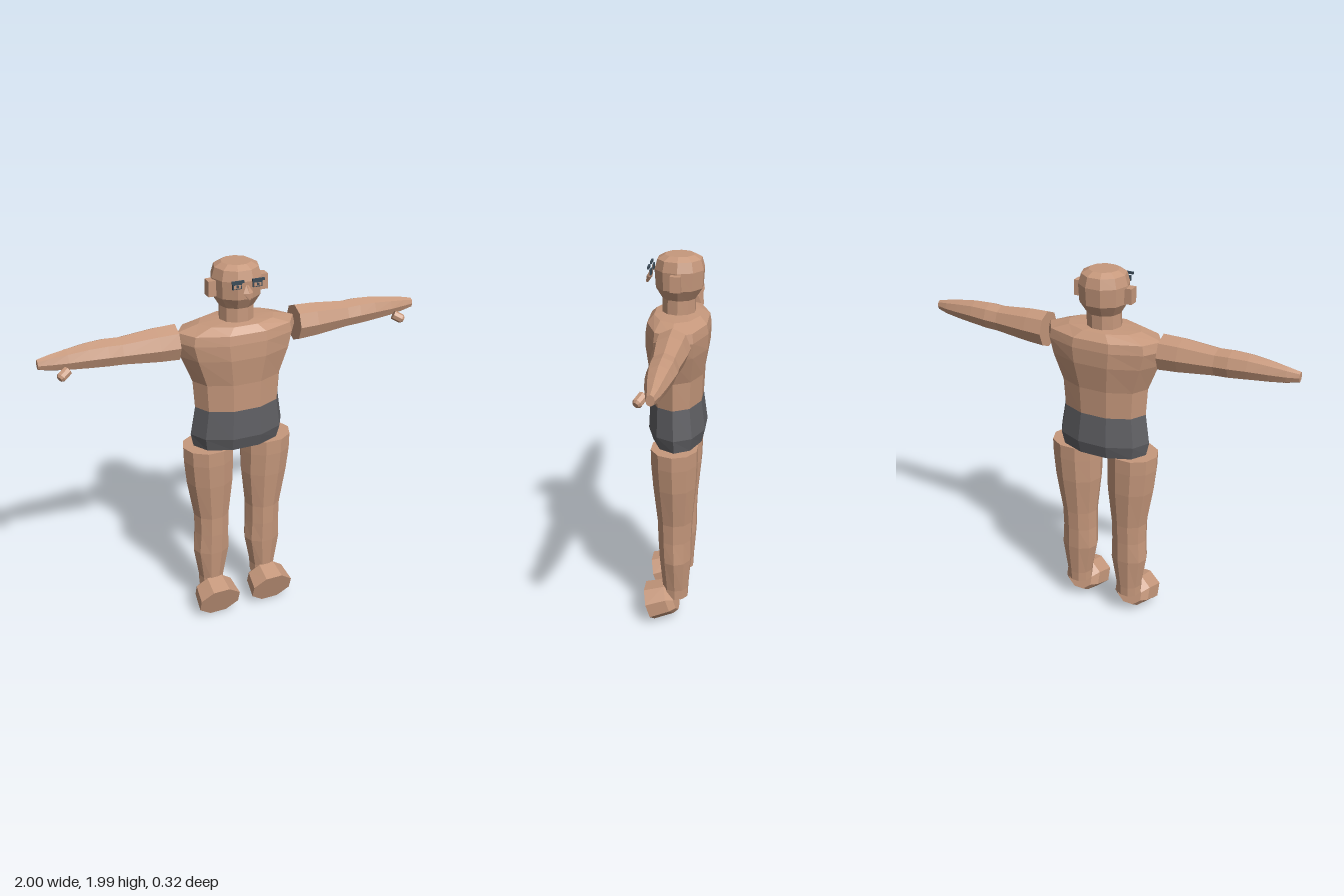
import * as THREE from 'three';

const skin = new THREE.MeshStandardMaterial({ color: 0xc6987c, flatShading: true });
const shortsGrey = new THREE.MeshStandardMaterial({ color: 0x5f5f63, flatShading: true });
const slate = new THREE.MeshStandardMaterial({ color: 0x3b4b57, flatShading: true });
skin.name = 'skin';
shortsGrey.name = 'shortsGrey';
slate.name = 'slate';

// Closed loft along y; each ring is [y, rx, rz, cx, cz], listed upwards
function loft(rings, n = 10, phase = 0) {
  const pos = [];
  const point = (r, j) => {
    const [y, rx, rz, cx = 0, cz = 0] = r;
    const a = phase + (j % n) / n * Math.PI * 2;
    return [cx + rx * Math.cos(a), y, cz + rz * Math.sin(a)];
  };
  const centre = ([y, , , cx = 0, cz = 0]) => [cx, y, cz];
  const first = rings[0], last = rings[rings.length - 1];
  for (let j = 0; j < n; j++) {
    for (let i = 0; i < rings.length - 1; i++) {
      const a = point(rings[i], j), b = point(rings[i + 1], j);
      const c = point(rings[i + 1], j + 1), d = point(rings[i], j + 1);
      pos.push(...a, ...b, ...c, ...a, ...c, ...d);
    }
    pos.push(...centre(first), ...point(first, j), ...point(first, j + 1));
    pos.push(...centre(last), ...point(last, j + 1), ...point(last, j));
  }
  const g = new THREE.BufferGeometry();
  g.setAttribute('position', new THREE.Float32BufferAttribute(pos, 3));
  g.computeVertexNormals();
  return g;
}

export function createModel() {
  const model = new THREE.Group();
  const add = (name, geometry, material, x = 0, y = 0, z = 0) => {
    const m = new THREE.Mesh(geometry, material);
    m.name = name;
    m.position.set(x, y, z);
    model.add(m);
    return m;
  };

  // Trunk
  add('shorts', loft([
    [1.015, 0.12, 0.1, 0, -0.005], [1.03, 0.24, 0.132, 0, -0.008],
    [1.1, 0.255, 0.152, 0, -0.006], [1.255, 0.23, 0.137],
  ]), shortsGrey);
  add('torso', loft([
    [1.255, 0.23, 0.137], [1.4, 0.24, 0.142, 0, -0.002], [1.54, 0.297, 0.163, 0, -0.006],
    [1.62, 0.32, 0.163, 0, -0.008], [1.668, 0.31, 0.155, 0, -0.008],
    [1.7, 0.2, 0.12, 0, -0.005], [1.705, 0.09, 0.08, 0, -0.008],
  ]), skin);

  // Neck and head
  add('neck', loft([[1.68, 0.09, 0.084, 0, -0.008], [1.8, 0.088, 0.084, 0, -0.01]]), skin);
  add('head', loft([
    [1.775, 0.088, 0.085, 0, -0.01], [1.83, 0.122, 0.12, 0, -0.012],
    [1.92, 0.127, 0.126, 0, -0.012], [1.97, 0.112, 0.112, 0, -0.012],
    [1.99, 0.075, 0.075, 0, -0.012],
  ]), skin);
  add('nose', loft([
    [1.845, 0.006, 0.006, 0, 0.15], [1.875, 0.025, 0.015, 0, 0.138],
    [1.91, 0.006, 0.006, 0, 0.125],
  ], 4), skin);

  for (const s of [1, -1]) {
    const side = s > 0 ? 'left' : 'right';
    // Face details
    add(side + 'Ear', new THREE.BoxGeometry(0.04, 0.078, 0.052), skin, s * 0.136, 1.875, -0.005);
    add(side + 'Brow', new THREE.BoxGeometry(0.062, 0.012, 0.009), slate, s * 0.053, 1.934, 0.134);
    add(side + 'EyeRim', new THREE.BoxGeometry(0.048, 0.028, 0.008), slate, s * 0.052, 1.91, 0.124);
    add(side + 'Eyelid', new THREE.BoxGeometry(0.036, 0.017, 0.004), skin, s * 0.052, 1.909, 0.129);
    add(side + 'Pupil', new THREE.BoxGeometry(0.012, 0.013, 0.004), slate, s * 0.052, 1.91, 0.131);

    // Arm: [x, half height, half depth, height offset, z]
    const arm = add(side + 'Arm', loft([
      [0.32, 0.095, 0.088, 0, -0.012], [0.42, 0.09, 0.085, 0.002, -0.01],
      [0.6, 0.071, 0.068, 0.004, -0.008], [0.67, 0.071, 0.07, 0.008, -0.008],
      [0.76, 0.065, 0.062, 0.01, -0.005], [0.86, 0.053, 0.048, 0.008, -0.003],
      [0.94, 0.04, 0.033, 0.007, -0.003], [1.0, 0.026, 0.02, 0.008, 0],
    ].map(([x, h, d, dy, z]) => [x, h, d, -s * dy, z]), 8), skin, 0, 1.62, 0);
    arm.rotation.z = -s * Math.PI / 2;

    // Thumb
    const thumb = add(side + 'Thumb', loft([[-0.03, 0.024, 0.024], [0.018, 0.024, 0.024], [0.03, 0.015, 0.015]], 8),
      skin, s * 0.894, 1.583, 0.06);
    thumb.quaternion.setFromUnitVectors(new THREE.Vector3(0, 1, 0),
      new THREE.Vector3(s * 0.05, -0.027, 0.027).normalize());

    // Leg: [y, rx, rz, x, z]
    add(side + 'Leg', loft([
      [0.145, 0.069, 0.068, 0.155, -0.008], [0.2, 0.07, 0.07, 0.155, -0.008],
      [0.38, 0.102, 0.086, 0.152, -0.007], [0.5, 0.096, 0.09, 0.15, -0.004],
      [0.61, 0.098, 0.094, 0.15, -0.005], [0.82, 0.128, 0.115, 0.156, -0.005],
      [0.95, 0.136, 0.122, 0.161, -0.003], [1.03, 0.137, 0.123, 0.162, -0.003],
    ].map(([y, rx, rz, x, z]) => [y, rx, rz, s * x, z])), skin);

    // Foot: blunt octagonal block tilted back towards the ankle
    const foot = add(side + 'Foot', loft([
      [0, 0.123, 0.101], [0.11, 0.11, 0.094], [0.142, 0.075, 0.064, 0, -0.018],
    ], 8, Math.PI / 8), skin, s * 0.158, 0.093, 0.133);
    foot.rotation.x = -1.26;
  }
  return model;
}
